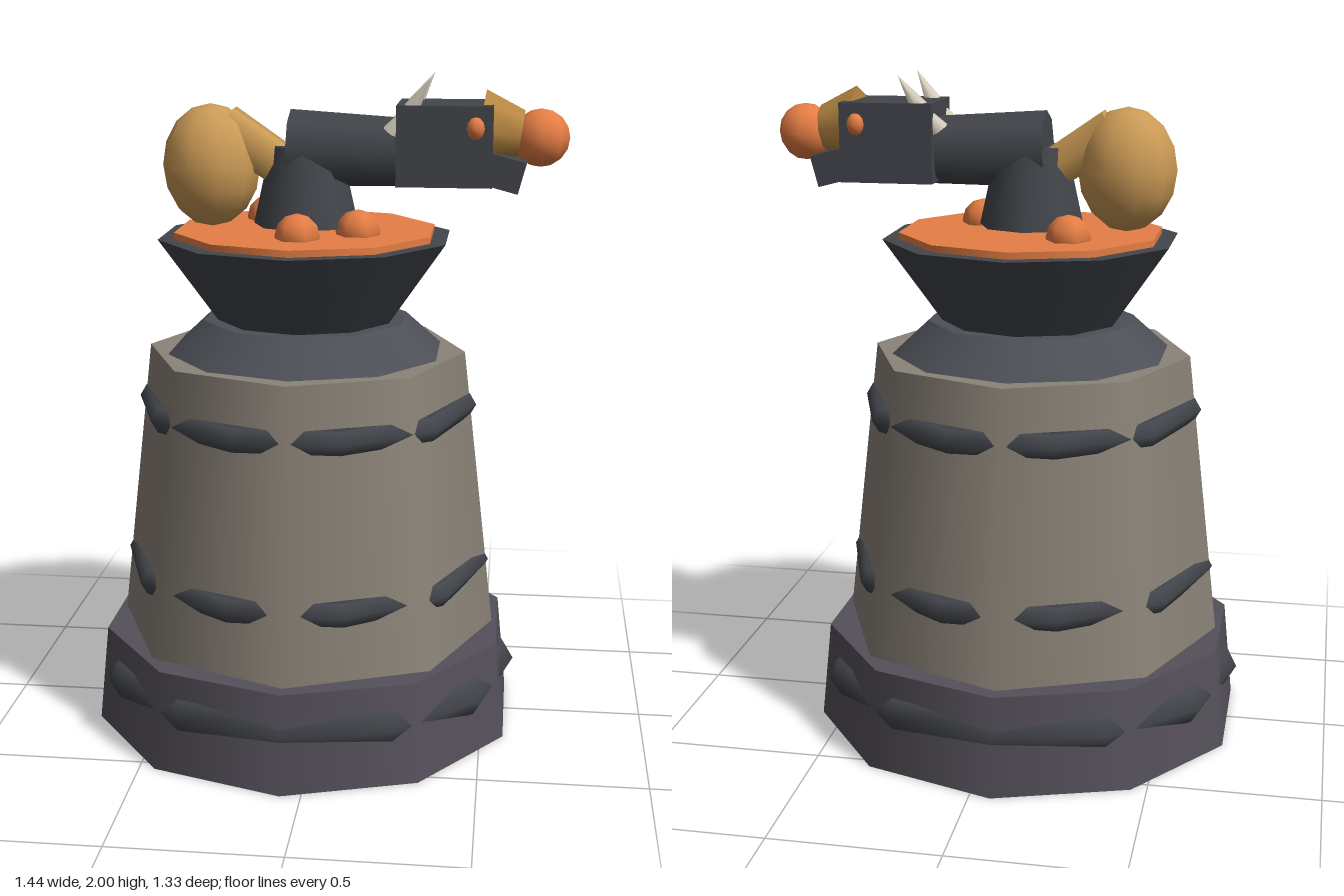
import * as THREE from 'three';

const mat = (color) => new THREE.MeshStandardMaterial({ color });
const M = {
  base: mat(0x55505a), stone: mat(0x8b8378), dark: mat(0x42454b), collar: mat(0x4c4f56),
  orange: mat(0xe67e45), tan: mat(0xcb9a56), brown: mat(0xb98843), bone: mat(0xd8d0be),
};
const AXIS = -0.062; // x of the tower's axis
const UP = new THREE.Vector3(0, 1, 0);

export function createModel() {
  const root = new THREE.Group();

  const add = (parent, name, geo, material, x = 0, y = 0, z = 0) => {
    const mesh = new THREE.Mesh(geo, material);
    mesh.name = name;
    mesh.position.set(x, y, z);
    parent.add(mesh);
    return mesh;
  };

  // Tapered upright drum from y0 to y1
  const drum = (parent, name, r0, r1, y0, y1, sides, material) =>
    add(parent, name, new THREE.CylinderGeometry(r1, r0, y1 - y0, sides), material, AXIS, (y0 + y1) / 2, 0);

  // Tapered rod between two points
  const rod = (parent, name, a, b, rA, rB, sides, material) => {
    const p = new THREE.Vector3(...a), q = new THREE.Vector3(...b);
    const dir = q.clone().sub(p);
    const mesh = add(parent, name, new THREE.CylinderGeometry(rB, rA, dir.length(), sides), material);
    mesh.position.copy(p).add(q).multiplyScalar(0.5);
    mesh.quaternion.setFromUnitVectors(UP, dir.normalize());
    return mesh;
  };

  const ball = (parent, name, r, ws, hs, material, x, y, z) =>
    add(parent, name, new THREE.SphereGeometry(r, ws, hs), material, x, y, z);

  // Tower
  const tower = new THREE.Group();
  tower.name = 'tower';
  root.add(tower);
  drum(tower, 'foundation', 0.666, 0.635, 0, 0.3, 10, M.base);
  drum(tower, 'towerWall', 0.588, 0.486, 0.3, 1.17, 8, M.stone);
  drum(tower, 'collar', 0.425, 0.315, 1.17, 1.27, 10, M.collar);
  drum(tower, 'bowl', 0.272, 0.449, 1.27, 1.52, 10, M.dark);
  drum(tower, 'platform', 0.4, 0.4, 1.51, 1.54, 10, M.orange);

  // Bands half sunk into the walls: [radius, tube, y, segments]
  const bands = [[0.597, 0.061, 0.175, 12], [0.532, 0.04, 0.505, 10], [0.484, 0.04, 1.005, 10]];
  for (const [r, t, y, n] of bands) {
    add(tower, 'band', new THREE.TorusGeometry(r, t, 6, n), M.dark, AXIS, y, 0).rotation.x = Math.PI / 2;
  }

  // Creature on the platform
  const creature = new THREE.Group();
  creature.name = 'creature';
  root.add(creature);
  for (const [x, z] of [[-0.2, -0.17], [-0.063, 0.2], [0.105, 0.1]]) {
    ball(creature, 'platformBall', 0.067, 6, 6, M.orange, x, 1.548, z);
  }
  drum(creature, 'bodyStand', 0.158, 0.105, 1.555, 1.79, 8, M.dark);
  rod(creature, 'torso', [-0.11, 1.782, 0], [0.25, 1.772, 0], 0.114, 0.1, 8, M.dark);

  // Tail with its heavy end
  rod(creature, 'tailStem', [-0.31, 1.843, 0], [-0.15, 1.74, 0], 0.075, 0.068, 6, M.tan);
  ball(creature, 'tailBall', 0.148, 10, 8, M.tan, -0.348, 1.727, 0).scale.y = 1.24;

  // Head
  add(creature, 'head', new THREE.BoxGeometry(0.28, 0.235, 0.246), M.dark, 0.355, 1.802, 0);
  add(creature, 'jaw', new THREE.BoxGeometry(0.2, 0.094, 0.2), M.dark, 0.485, 1.736, 0).rotation.z = -0.26;
  rod(creature, 'snout', [0.455, 1.848, 0], [0.575, 1.83, 0], 0.112, 0.07, 8, M.brown);
  ball(creature, 'nose', 0.085, 8, 8, M.orange, 0.633, 1.82, 0);
  for (const s of [-1, 1]) {
    ball(creature, 'eye', 0.028, 8, 6, M.orange, 0.445, 1.856, 0.119 * s).scale.y = 1.2;
    rod(creature, 'horn', [0.25, 1.895, 0.09 * s], [0.315, 2, 0.118 * s], 0.03, 0, 6, M.bone);
    rod(creature, 'neckSpike', [0.2, 1.84, 0.082 * s], [0.26, 1.93, 0.1 * s], 0.03, 0, 6, M.bone);
  }
  return root;
}
